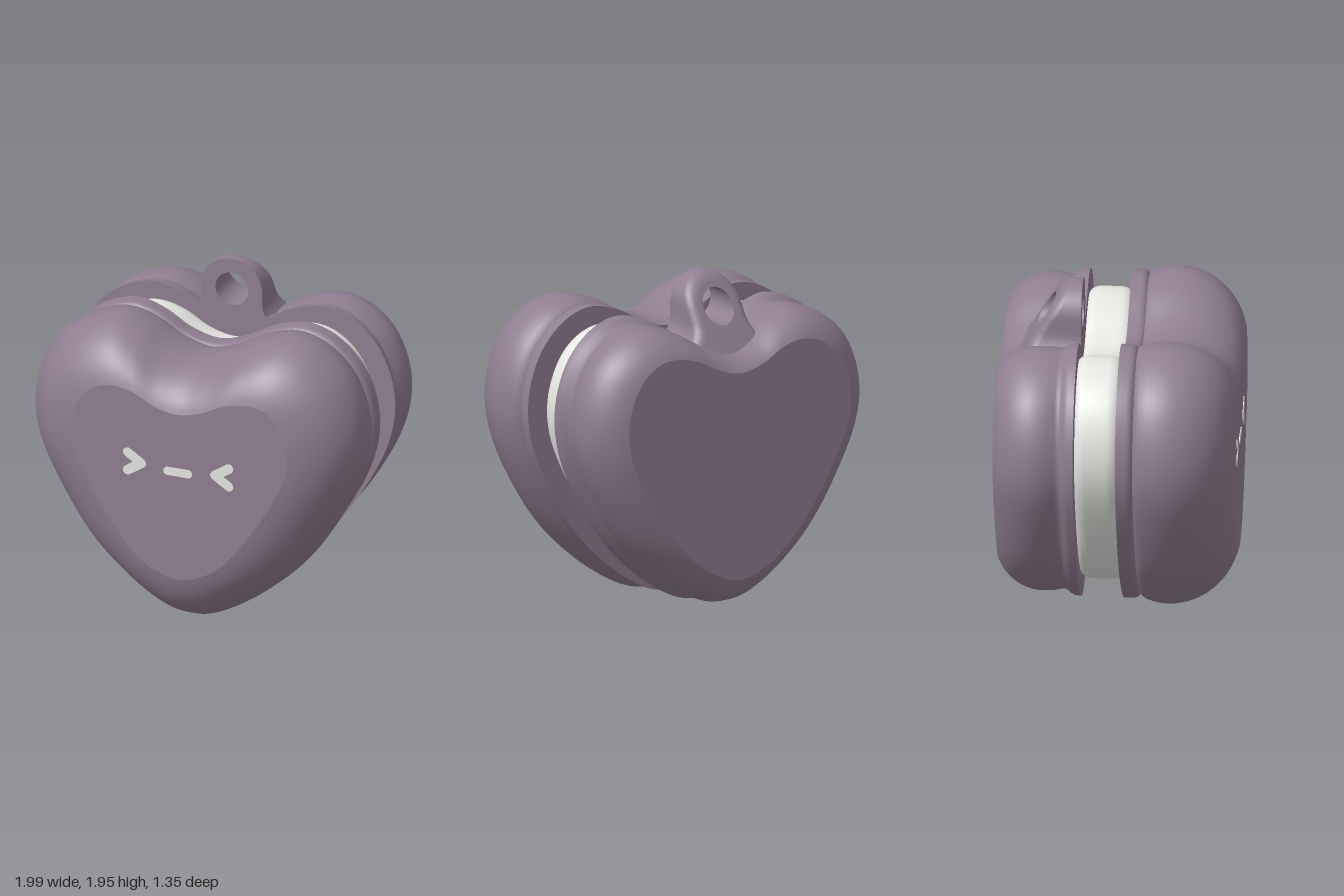
import * as THREE from 'three';

const mauve = new THREE.MeshStandardMaterial({ color: 0x8f7e90 });
mauve.name = 'dusty mauve';
const offWhite = new THREE.MeshStandardMaterial({ color: 0xe6e6e2 });
offWhite.name = 'off white';

// Heart control points, counter-clockwise: outer x, y and inset x, y
const HEART = [
  [-0.02, 0.005, -0.01, 0.345], [0.15, 0.04, 0.08, 0.36], [0.4, 0.2, 0.24, 0.45], [0.66, 0.45, 0.4, 0.64],
  [0.88, 0.8, 0.57, 0.91], [0.98, 1.08, 0.65, 1.1], [0.985, 1.33, 0.65, 1.27], [0.9, 1.56, 0.58, 1.42],
  [0.74, 1.72, 0.5, 1.48], [0.55, 1.785, 0.41, 1.49], [0.35, 1.74, 0.28, 1.465], [0.15, 1.635, 0.14, 1.4],
  [-0.01, 1.59, 0, 1.365], [-0.18, 1.63, -0.14, 1.39], [-0.35, 1.725, -0.27, 1.455], [-0.52, 1.765, -0.39, 1.48],
  [-0.72, 1.7, -0.49, 1.46], [-0.89, 1.55, -0.58, 1.39], [-0.985, 1.32, -0.645, 1.26], [-0.99, 1.07, -0.645, 1.09],
  [-0.89, 0.8, -0.57, 0.9], [-0.67, 0.44, -0.4, 0.63], [-0.42, 0.2, -0.24, 0.44], [-0.19, 0.045, -0.1, 0.365],
];

// Heart ring at depth z; 0 = full outline, 1 = inset outline
function heartRing([z, sx, sy = sx]) {
  const points = HEART.map(([ox, oy, ix, iy]) =>
    new THREE.Vector3(ox + (ix - ox) * sx, oy + (iy - oy) * sy, z));
  return new THREE.CatmullRomCurve3(points, true, 'catmullrom', 0.5).getPoints(168).slice(0, -1);
}

// Smooth skin through closed rings
function loft(rings) {
  const n = rings[0].length, index = [];
  for (let j = 0; j < rings.length - 1; j++) {
    for (let i = 0; i < n; i++) {
      const a = j * n + i, b = j * n + (i + 1) % n;
      index.push(a, b, b + n, a, b + n, a + n);
    }
  }
  const geometry = new THREE.BufferGeometry().setFromPoints(rings.flat());
  geometry.setIndex(index);
  geometry.computeVertexNormals();
  return geometry;
}

// Flat cap over a ring; depth(y) gives its z
function cap(ring, facesBack, depth, hole) {
  const shape = new THREE.Shape(ring.map((p) => new THREE.Vector2(p.x, p.y)));
  if (hole) shape.holes.push(new THREE.Path(hole.map((p) => new THREE.Vector2(p.x, p.y))));
  const geometry = new THREE.ShapeGeometry(shape);
  const pos = geometry.attributes.position;
  for (let i = 0; i < pos.count; i++) pos.setZ(i, depth(pos.getY(i)));
  if (facesBack) geometry.setIndex(Array.from(geometry.index.array).reverse());
  geometry.computeVertexNormals();
  return geometry;
}

function add(parent, name, geometry, material) {
  const mesh = new THREE.Mesh(geometry, material);
  mesh.name = name;
  parent.add(mesh);
}

// Heart solid: each profile is a smooth band, with sharp edges between bands
function heartSolid(name, profiles, material) {
  const group = new THREE.Group();
  group.name = name;
  profiles.forEach((p) => add(group, name + 'Side', loft(p.map(heartRing)), material));
  const first = profiles[0][0], last = profiles.at(-1).at(-1);
  add(group, name + 'BackFace', cap(heartRing(first), true, () => first[0]), material);
  add(group, name + 'FrontFace', cap(heartRing(last), false, () => last[0]), material);
  return group;
}

// Elliptical shoulder from the widest ring to the flat face
function shoulder(z0, z1, from, to, maxAngle, steps = 14) {
  return Array.from({ length: steps + 1 }, (_, i) => {
    const a = maxAngle * i / steps;
    const k = (1 - Math.cos(a)) / (1 - Math.cos(maxAngle));
    return [z0 + (z1 - z0) * Math.sin(a) / Math.sin(maxAngle),
      from[0] + (to[0] - from[0]) * k, from[1] + (to[1] - from[1]) * k];
  });
}

// Hanging loop: arch with a sloped, rounded back and a round hole
function hangingLoop() {
  const group = new THREE.Group();
  group.name = 'hangingLoop';
  const cx = -0.035, cy = 1.77, front = -0.21;
  const slope = (y) => -0.42 - (cy - y) * 0.58;
  const legs = [[1.7, 0], [1.66, 0.005], [1.62, 0.025], [1.58, 0.06], [1.5, 0.07]];
  const arch = (inset) => {
    const r = 0.185 - inset, points = [];
    [...legs].reverse().forEach(([y, flare]) => points.push(new THREE.Vector3(cx + r + flare, y, 0)));
    for (let i = 0; i <= 32; i++) {
      const a = Math.PI * i / 32;
      points.push(new THREE.Vector3(cx + r * Math.cos(a), cy + r * Math.sin(a), 0));
    }
    legs.forEach(([y, flare]) => points.push(new THREE.Vector3(cx - r - flare, y, 0)));
    return points;
  };
  const round = 0.055, rings = [];
  for (let i = 6; i >= 0; i--) {
    const a = Math.PI / 2 * i / 6;
    rings.push(arch(round * (1 - Math.cos(a))).map((p) => p.setZ(slope(p.y) + round * (1 - Math.sin(a)))));
  }
  rings.push(arch(0).map((p) => p.setZ(front)));
  const circle = (depth) => Array.from({ length: 48 }, (_, i) => {
    const a = Math.PI * 2 * i / 48, y = cy + 0.1 * Math.sin(a);
    return new THREE.Vector3(cx + 0.1 * Math.cos(a), y, depth(y));
  });
  const hole = circle(() => front);
  add(group, 'loopSide', loft(rings), mauve);
  add(group, 'loopBack', cap(rings[0], true, slope, hole), mauve);
  add(group, 'loopFront', cap(rings.at(-1), false, () => front, hole), mauve);
  add(group, 'loopHole', loft([hole, circle(slope)]), mauve);
  return group;
}

// Thin round-ended stroke on the front face
function stroke(parent, name, x0, y0, x1, y1, r) {
  const a = Math.atan2(y1 - y0, x1 - x0);
  const shape = new THREE.Shape();
  shape.absarc(x1, y1, r, a - Math.PI / 2, a + Math.PI / 2, false);
  shape.absarc(x0, y0, r, a + Math.PI / 2, a + Math.PI * 1.5, false);
  const geometry = new THREE.ExtrudeGeometry(shape, { depth: 0.005, bevelEnabled: false, curveSegments: 8 });
  geometry.translate(0, 0, 0.674);
  add(parent, name, geometry, offWhite);
}

export function createModel() {
  const model = new THREE.Group();
  model.name = 'heartCase';

  // Front shell: flange, neck and full rounded body
  model.add(heartSolid('frontShell', [
    [[0.03, 0.08], [0.085, 0.085], [0.105, 0.1], [0.118, 0.13], [0.125, 0.17]],
    [[0.125, 0.17], [0.135, 0.12], [0.16, 0.07], [0.2, 0.03], [0.24, 0.008],
      ...shoulder(0.28, 0.675, [0, 0], [1, 1], 1.33)],
  ], mauve));

  // Back shell: shallower body, soft neck and flange
  model.add(heartSolid('backShell', [
    [...shoulder(-0.43, -0.675, [0.12, 0.18], [0.64, 0.68], 1.15).reverse(),
      [-0.39, 0.13, 0.18], [-0.35, 0.17, 0.19], [-0.32, 0.22, 0.21], [-0.3, 0.235, 0.21],
      [-0.285, 0.21, 0.18], [-0.265, 0.15, 0.13], [-0.245, 0.115, 0.105], [-0.21, 0.1, 0.095]],
  ], mauve));

  // Pale core between the shells
  model.add(heartSolid('core', [
    [[-0.21, 0.5], [-0.2, 0.46], [-0.18, 0.42], [-0.15, 0.4], [-0.03, 0.4], [0, 0.42], [0.02, 0.455], [0.03, 0.49]],
  ], offWhite));

  model.add(hangingLoop());

  // Face: two squeezed-shut eyes and a mouth
  const face = new THREE.Group();
  face.name = 'face';
  for (const side of [-1, 1]) {
    for (const dy of [-0.055, 0.055]) {
      stroke(face, side < 0 ? 'rightEye' : 'leftEye', side * 0.308, 1.03 + dy, side * 0.224, 1.03, 0.028);
    }
  }
  stroke(face, 'mouth', -0.065, 1.01, 0.06, 1.01, 0.025);
  model.add(face);
  return model;
}
